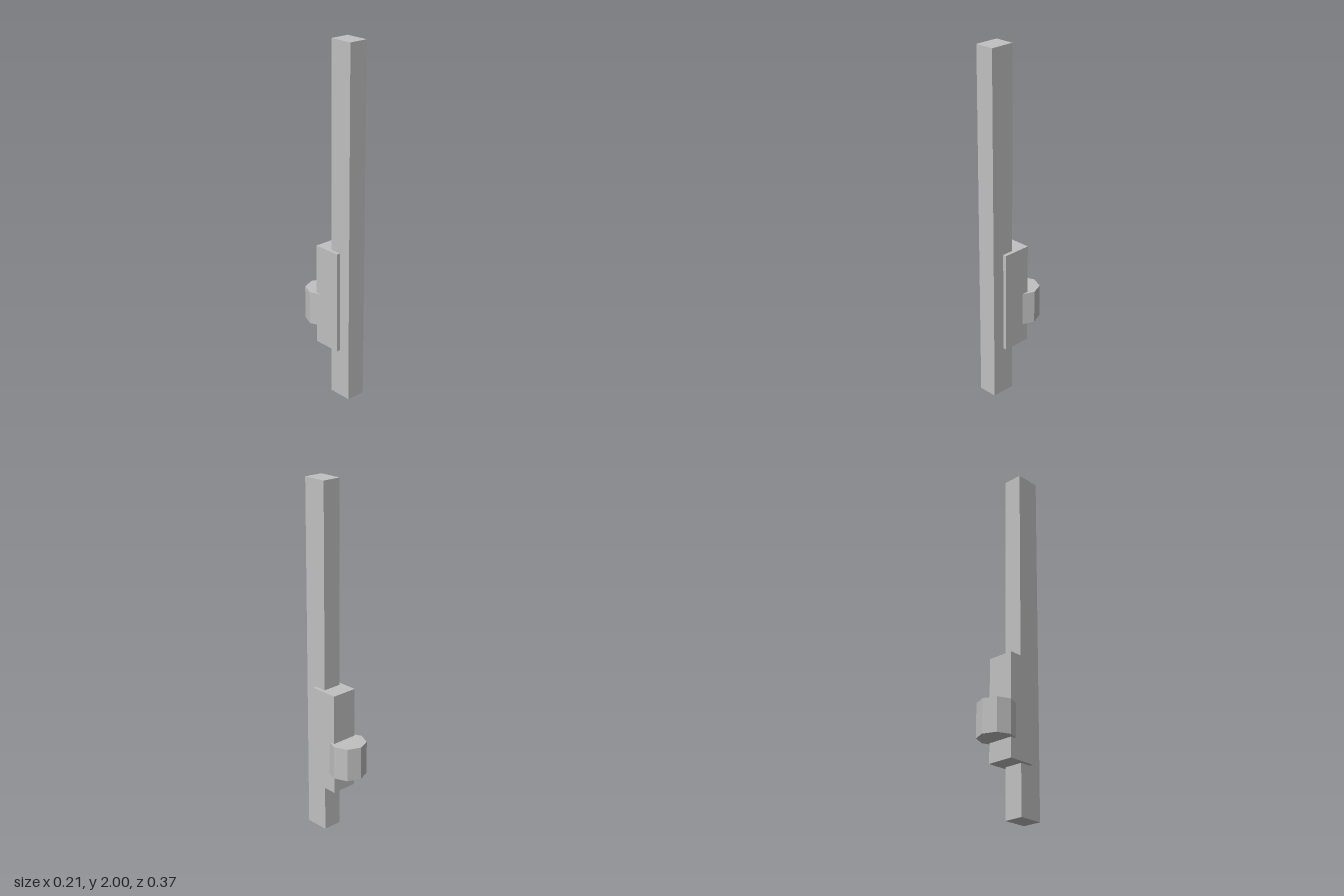
import * as THREE from 'three';

export function createModel() {
  const model = new THREE.Group();
  const grey = new THREE.MeshStandardMaterial({ color: 0xc0c0c0 });
  grey.name = 'grey';

  const add = (name, geometry, y, z) => {
    const mesh = new THREE.Mesh(geometry, grey);
    mesh.name = name;
    mesh.position.set(0, y, z);
    model.add(mesh);
  };

  // Tall square post
  add('post', new THREE.BoxGeometry(0.11, 2, 0.138), 1, 0.114);
  // Housing wrapped around the back of the post
  add('housing', new THREE.BoxGeometry(0.152, 0.58, 0.165), 0.57, 0.03);
  // Eight-sided knob set into the back of the housing
  const knob = new THREE.CylinderGeometry(0.103, 0.103, 0.19, 8).toNonIndexed();
  knob.computeVertexNormals();
  add('knob', knob, 0.485, -0.08);

  return model;
}
